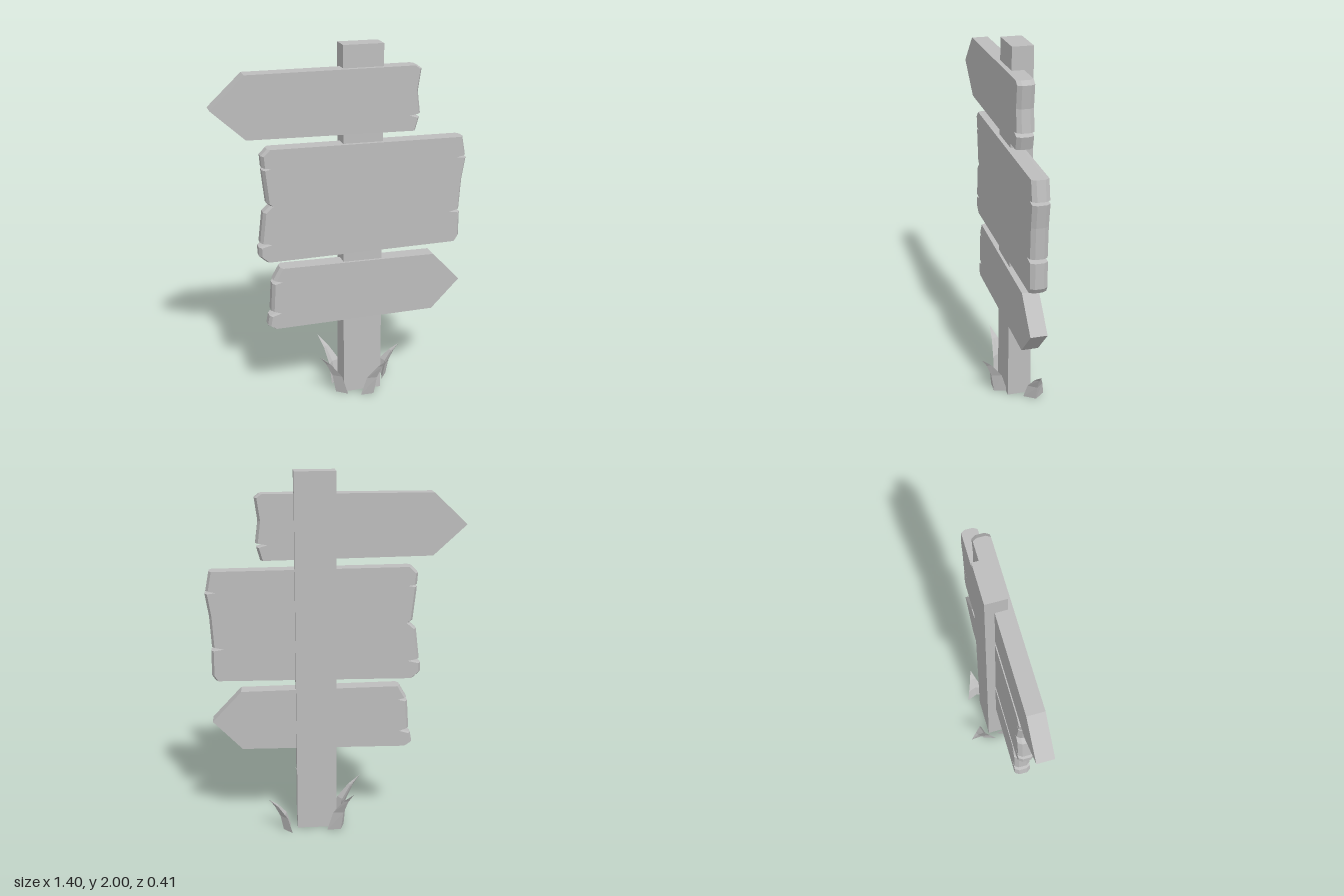
import * as THREE from 'three';

const wood = new THREE.MeshStandardMaterial({ color: 0xbdbdbd });
wood.name = 'plain grey';

// Flat facets: every triangle keeps its own normal.
function flatMesh(geometry, name) {
  const g = geometry.index ? geometry.toNonIndexed() : geometry;
  g.computeVertexNormals();
  const mesh = new THREE.Mesh(g, wood);
  mesh.name = name;
  return mesh;
}

// Post: square beam, its front slightly thicker at the foot.
function makePost() {
  const g = new THREE.BoxGeometry(0.22, 2, 0.112);
  g.translate(0.111, 1, -0.019);
  const p = g.attributes.position;
  for (let i = 0; i < p.count; i++) {
    if (p.getY(i) < 0.01 && p.getZ(i) > 0) p.setZ(i, 0.057);
  }
  return flatMesh(g, 'post');
}

// Plank: extruded outline; the ragged ends are chamfered towards front and back.
function makePlank(name, outline, ragged) {
  const depth = 0.09, back = -0.026;
  const shape = new THREE.Shape(outline.map(([x, y]) => new THREE.Vector2(x, y)));
  const g = new THREE.ExtrudeGeometry(shape, { depth, steps: 4, bevelEnabled: false });
  const p = g.attributes.position;
  for (let i = 0; i < p.count; i++) {
    const x = p.getX(i), z = p.getZ(i);
    const outer = z < 0.001 || z > depth - 0.001;
    if (outer && ragged(x)) p.setX(i, x - Math.sign(x) * 0.014);
  }
  g.translate(0, 0, back);
  return flatMesh(g, name);
}

// Grass blade: chevron cross-sections narrowing to a tip that leans outwards.
function makeBlade(name, [x, z], [tipX, height, tipZ]) {
  const run = Math.hypot(tipX - x, tipZ - z);
  // height share, run share, half width, ridge thickness, sweep of the sides
  const levels = [
    [0, 0, 0.06, 0.018, 0.028],
    [0.45, 0.2, 0.044, 0.016, 0.022],
    [0.78, 0.58, 0.02, 0.01, 0.01],
    [1, 1, 0, 0, 0],
  ];
  const rings = levels.map(([h, r, w, t, s]) => [
    [r * run + t, h * height, 0],
    [r * run - s, h * height, w],
    [r * run - t * 0.5, h * height, 0],
    [r * run - s, h * height, -w],
  ]);
  const v = [];
  for (let i = 0; i < rings.length - 1; i++) {
    for (let k = 0; k < 4; k++) {
      const n = (k + 1) % 4;
      const a = rings[i][k], b = rings[i][n], c = rings[i + 1][k], d = rings[i + 1][n];
      v.push(...a, ...c, ...b);
      if (i < rings.length - 2) v.push(...b, ...c, ...d);
    }
  }
  const [a, b, c, d] = rings[0];
  v.push(...a, ...b, ...c, ...a, ...c, ...d);
  const g = new THREE.BufferGeometry();
  g.setAttribute('position', new THREE.Float32BufferAttribute(v, 3));
  const mesh = flatMesh(g, name);
  mesh.position.set(x, 0, z);
  mesh.rotation.y = Math.atan2(-(tipZ - z), tipX - x);
  return mesh;
}

export function createModel() {
  const model = new THREE.Group();
  model.name = 'signpost';
  model.add(makePost());

  // Upper arrow, pointing to -x
  model.add(makePlank('upperArrowBoard', [
    [-0.7, 1.71], [-0.52, 1.545], [0.4, 1.53], [0.42, 1.6], [0.375, 1.613],
    [0.425, 1.622], [0.41, 1.74], [0.427, 1.86], [0.4, 1.88], [-0.52, 1.88],
  ], (x) => x > 0.3));

  // Large board, ragged at both ends
  model.add(makePlank('middleBoard', [
    [-0.43, 0.86], [0.655, 0.87], [0.675, 0.9], [0.675, 1.04], [0.62, 1.048],
    [0.67, 1.06], [0.68, 1.23], [0.7, 1.355], [0.655, 1.361], [0.695, 1.37],
    [0.675, 1.475], [-0.41, 1.485], [-0.445, 1.45], [-0.44, 1.387], [-0.405, 1.381],
    [-0.44, 1.374], [-0.42, 1.19], [-0.4, 1.175], [-0.44, 1.14], [-0.46, 0.97],
    [-0.41, 0.96], [-0.468, 0.945], [-0.468, 0.895],
  ], () => true));

  // Lower arrow, pointing to +x
  model.add(makePlank('lowerArrowBoard', [
    [-0.4, 0.46], [0.52, 0.47], [0.68, 0.635], [0.52, 0.805], [-0.355, 0.815],
    [-0.395, 0.745], [-0.36, 0.735], [-0.4, 0.725], [-0.41, 0.565], [-0.37, 0.55],
    [-0.42, 0.535], [-0.43, 0.48],
  ], (x) => x < -0.3));

  // Grass around the foot
  const grass = new THREE.Group();
  grass.name = 'grass';
  grass.add(
    makeBlade('backBlade', [-0.01, -0.1], [-0.085, 0.25, -0.205]),
    makeBlade('frontBlade', [0.15, 0.108], [0.22, 0.25, 0.205]),
    makeBlade('rightBlade', [-0.025, 0.038], [-0.145, 0.25, 0.07]),
    makeBlade('leftBlade', [0.283, -0.085], [0.38, 0.185, -0.09]),
  );
  model.add(grass);
  return model;
}
